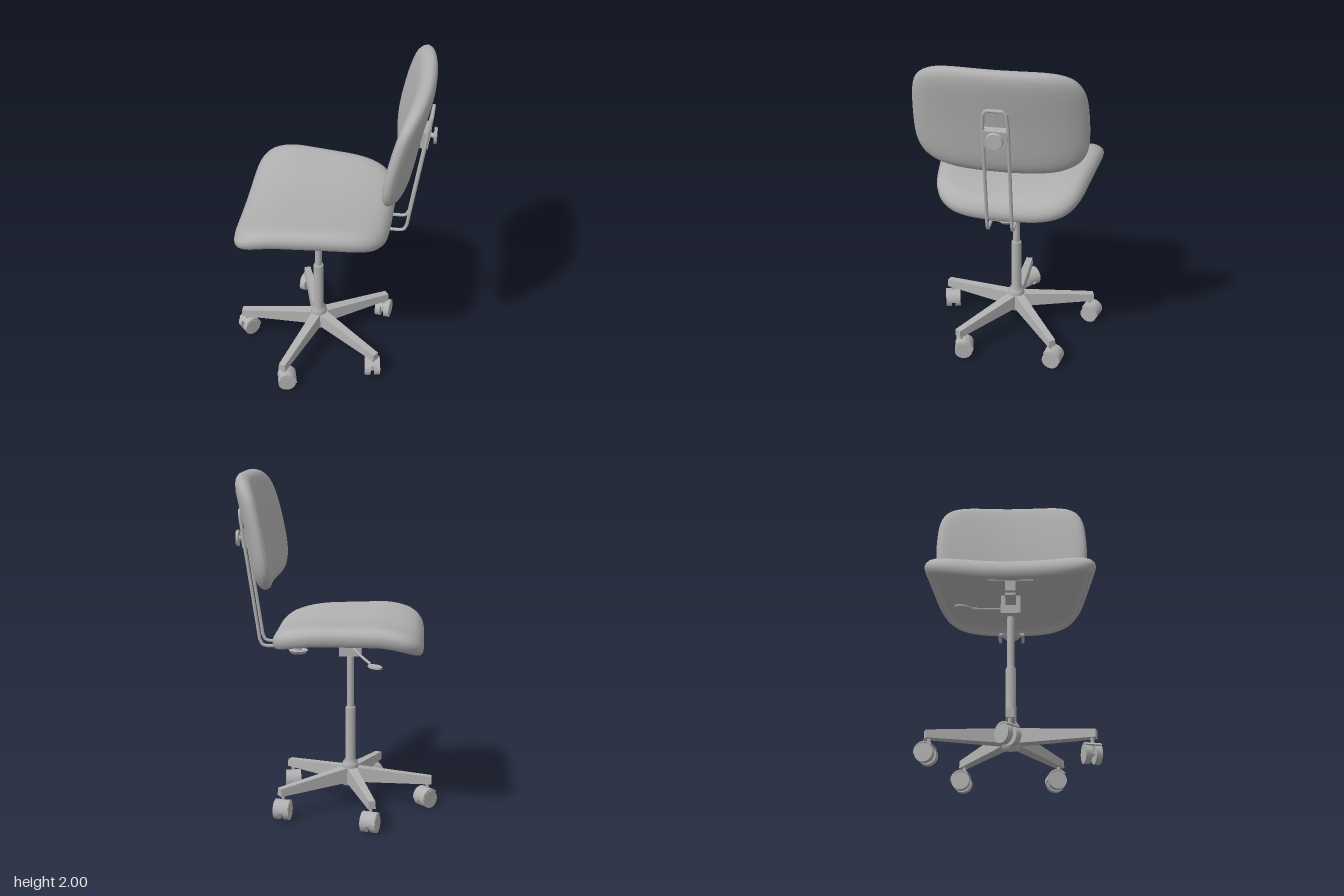
import * as THREE from 'three';

export function createModel() {
  const grey = new THREE.MeshStandardMaterial({ color: 0xb0b0b0 });
  grey.name = 'plain grey';
  const root = new THREE.Group();
  root.name = 'swivelChair';
  const chair = new THREE.Group();
  chair.name = 'chair';
  chair.position.z = -0.012;
  root.add(chair);

  const clamp = THREE.MathUtils.clamp;
  const V = (x, y, z) => new THREE.Vector3(x, y, z);

  function add(name, geo, x = 0, y = 0, z = 0, parent = chair) {
    const m = new THREE.Mesh(geo, grey);
    m.name = name;
    m.position.set(x, y, z);
    parent.add(m);
    return m;
  }
  const box = (w, h, d) => new THREE.BoxGeometry(w, h, d);
  const cyl = (rTop, rBottom, h, n = 24) => new THREE.CylinderGeometry(rTop, rBottom, h, n);

  // Padded shell: rings [scale, height] of a squarish outline, bent by place(a, b, h)
  function cushion(rings, power, place) {
    const n = 96, pos = [], idx = [];
    rings.forEach(([s, h]) => {
      for (let j = 0; j < n; j++) {
        const t = (j / n) * Math.PI * 2, c = Math.cos(t), d = Math.sin(t);
        const p = power(c, d);
        const r = s / Math.pow(Math.abs(c) ** p + Math.abs(d) ** p, 1 / p);
        pos.push(...place(c * r, d * r, h));
      }
    });
    for (let i = 0; i < rings.length - 1; i++) {
      for (let j = 0; j < n; j++) {
        const k = (j + 1) % n, a = i * n, b = a + n;
        idx.push(a + j, b + k, b + j, a + j, a + k, b + k);
      }
    }
    const g = new THREE.BufferGeometry();
    g.setAttribute('position', new THREE.Float32BufferAttribute(pos, 3));
    g.setIndex(idx);
    g.computeVertexNormals();
    return g;
  }

  // Seat: saddle-shaped, drooping front lip, hollow underside
  const seatRings = [[0, 0], [0.2, 0], [0.4, 0], [0.55, 0], [0.7, 0], [0.8, -0.002], [0.87, -0.006],
    [0.92, -0.014], [0.96, -0.028], [0.99, -0.048], [1, -0.07], [0.99, -0.095], [0.965, -0.112],
    [0.93, -0.117], [0.9, -0.11], [0.87, -0.085], [0.6, -0.08], [0.3, -0.08], [0, -0.08]];
  add('seat', cushion(seatRings, (c) => (c < 0 ? 6.5 : 4.5), (a, b, h) => {
    const x = -0.075 + 0.437 * a;
    const z = b * (0.457 - 0.05 * a);
    const front = clamp((-0.25 - x) / 0.26, 0, 1), back = clamp((x - 0.02) / 0.34, 0, 1);
    return [x, 1.147 - 0.056 * front ** 1.6 - 0.04 * back ** 2 + 0.04 * (z / 0.45) ** 2 + h, z];
  }));

  // Backrest: leaning back, with the sides wrapped forward
  const backRings = [[0, 0.055], [0.2, 0.055], [0.4, 0.054], [0.6, 0.052], [0.75, 0.048], [0.86, 0.04],
    [0.93, 0.029], [0.98, 0.014], [1, -0.005], [0.985, -0.025], [0.95, -0.041], [0.89, -0.052],
    [0.8, -0.057], [0.6, -0.06], [0.4, -0.06], [0.2, -0.06], [0, -0.06]];
  add('backrest', cushion(backRings, (c, d) => (d > 0 ? 5 : 4), (a, b, h) => {
    const y = 1.675 + 0.325 * b;
    const z = a * (0.482 - 0.025 * Math.max(b + 0.2, 0) ** 2);
    const x = 0.462 + 0.065 * b + 0.015 * b * b - 0.06 * (z / 0.48) ** 2 + h;
    return [x, y, z];
  }));

  // Bent wire back support, one continuous loop
  const side = (s) => [V(0.3, 0.99, s * 0.07), V(0.41, 0.99, s * 0.07), V(0.435, 0.998, s * 0.07),
    V(0.45, 1.03, s * 0.07), V(0.547, 1.69, s * 0.068), V(0.558, 1.76, s * 0.062), V(0.56, 1.782, s * 0.045)];
  const wirePath = new THREE.CurvePath();
  const wire = [...side(1), ...side(-1).reverse()];
  for (let i = 0; i < wire.length - 1; i++) wirePath.add(new THREE.LineCurve3(wire[i], wire[i + 1]));
  add('backSupportWire', new THREE.TubeGeometry(wirePath, 240, 0.01, 10, false));
  add('wireCrossPiece', box(0.03, 0.018, 0.15), 0.31, 0.99, 0);

  // Backrest clamp and its knob
  add('backClamp', box(0.045, 0.1, 0.135), 0.528, 1.615, 0).rotation.z = -0.14;
  add('clampStem', cyl(0.014, 0.014, 0.06), 0.555, 1.615, 0).rotation.z = Math.PI / 2;
  add('clampKnob', cyl(0.05, 0.045, 0.016, 12), 0.58, 1.615, 0).rotation.z = Math.PI / 2;

  // Under-seat mechanism
  add('supportBar', box(0.6, 0.02, 0.06), 0.02, 0.99, 0);
  add('frontBracket', box(0.04, 0.06, 0.06), -0.285, 1.025, 0);
  add('seatPlate', box(0.46, 0.012, 0.26), -0.08, 1.062, 0);
  add('mechanismBlock', box(0.13, 0.11, 0.115), -0.08, 0.985, 0);
  add('depthKnobStem', cyl(0.018, 0.018, 0.06), 0.23, 0.968, 0);
  add('depthKnob', cyl(0.058, 0.045, 0.018, 16), 0.23, 0.943, 0);

  // Height lever with a flat paddle
  const leverPath = new THREE.CatmullRomCurve3([V(-0.1, 0.975, -0.05), V(-0.14, 0.955, -0.12), V(-0.21, 0.926, -0.23)]);
  add('heightLever', new THREE.TubeGeometry(leverPath, 16, 0.008, 8, false));
  const paddle = add('leverPaddle', cyl(0.045, 0.045, 0.01), -0.235, 0.92, -0.265);
  paddle.scale.set(0.75, 1, 1.25);
  paddle.rotation.y = 0.6;

  // Gas column and hub
  const hubX = -0.08;
  add('upperColumn', cyl(0.021, 0.021, 0.34), hubX, 0.77, 0);
  add('lowerColumn', new THREE.LatheGeometry(
    [[0, 0.13], [0.05, 0.13], [0.05, 0.245], [0.046, 0.265], [0.03, 0.29], [0.03, 0.605], [0.026, 0.612], [0, 0.612]]
      .map(([r, y]) => new THREE.Vector2(r, y)), 32), hubX, 0, 0);

  // Tapered leg: box reshaped to be taller and wider at the hub
  const legGeo = box(0.47, 1, 1);
  legGeo.translate(0.255, 0, 0);
  const lp = legGeo.attributes.position;
  for (let i = 0; i < lp.count; i++) {
    const outer = lp.getX(i) > 0.25, top = lp.getY(i) > 0;
    lp.setY(i, top ? (outer ? 0.186 : 0.24) : (outer ? 0.14 : 0.15));
    lp.setZ(i, Math.sign(lp.getZ(i)) * (outer ? 0.023 : 0.034) * (top ? 0.85 : 1));
  }
  legGeo.computeVertexNormals();

  // Curved caster hood over the wheel pair
  const hoodShape = new THREE.Shape();
  hoodShape.absarc(0, 0, 0.059, -0.15, Math.PI * 0.78, false);
  hoodShape.absarc(0, 0, 0.05, Math.PI * 0.78, -0.15, true);
  const hoodGeo = new THREE.ExtrudeGeometry(hoodShape, { depth: 0.09, bevelEnabled: false, curveSegments: 16 });
  hoodGeo.translate(0, 0, -0.045);

  // Five legs, each with a twin-wheel caster swivelled its own way
  const yaws = [0.75, 1.3, 1.4, 1.75, 0.25];
  for (let i = 0; i < 5; i++) {
    const ang = Math.PI + (i * Math.PI * 2) / 5;
    const leg = add('baseLeg', legGeo, hubX, 0, 0);
    leg.rotation.y = -ang;
    const caster = new THREE.Group();
    caster.name = 'caster';
    caster.position.set(hubX + Math.cos(ang) * 0.465, 0, Math.sin(ang) * 0.465);
    caster.rotation.y = yaws[i];
    chair.add(caster);
    add('casterStem', cyl(0.011, 0.011, 0.07, 12), 0, 0.115, 0, caster);
    add('casterBody', box(0.045, 0.06, 0.018), 0.01, 0.075, 0, caster);
    add('casterHood', hoodGeo, 0.015, 0.059, 0, caster);
    for (const s of [-1, 1]) {
      add('casterWheel', cyl(0.053, 0.053, 0.034, 20), 0.015, 0.053, s * 0.029, caster).rotation.x = Math.PI / 2;
    }
  }
  return root;
}
